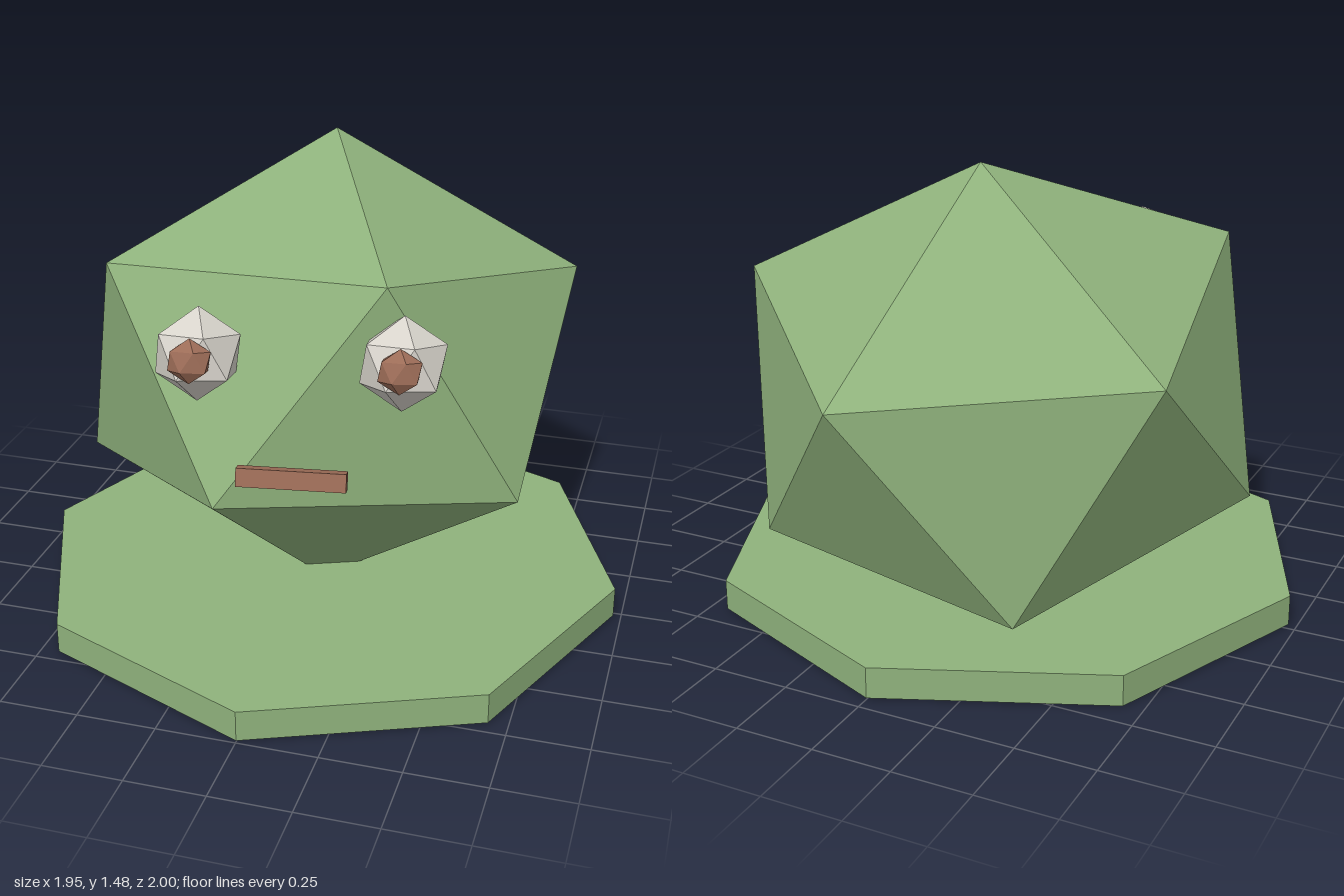
import * as THREE from 'three';
import { ConvexGeometry } from 'three/addons/geometries/ConvexGeometry.js';

const flat = (name, color) => {
  const m = new THREE.MeshStandardMaterial({ color });
  m.name = name;
  return m;
};

// Twenty-sided ball standing on a corner, with a ring corner on the x axis
function facetedBall() {
  const h = 1 / Math.sqrt(5), r = 2 * h;
  const points = [new THREE.Vector3(0, 1, 0), new THREE.Vector3(0, -1, 0)];
  for (let i = 0; i < 5; i++) {
    const a = (i * Math.PI * 2) / 5;
    const p = new THREE.Vector3(r * Math.cos(a), h, r * Math.sin(a));
    points.push(p, p.clone().negate());
  }
  return new ConvexGeometry(points);
}

export function createModel() {
  const green = flat('leaf green', 0x8fb27c);
  const white = flat('off white', 0xd8d4cc);
  const brown = flat('brown', 0x9c6c57);
  const ball = facetedBall();
  const model = new THREE.Group();
  model.name = 'blobCreature';

  const add = (parent, name, geometry, material, position, scale = [1, 1, 1]) => {
    const mesh = new THREE.Mesh(geometry, material);
    mesh.name = name;
    mesh.position.set(...position);
    mesh.scale.set(...scale);
    parent.add(mesh);
  };

  // Eight-sided slab underfoot
  const slab = new THREE.CylinderGeometry(0.975, 0.975, 0.1, 8).toNonIndexed();
  slab.computeVertexNormals();
  add(model, 'base', slab, green, [0, 0.06, 0.02]);

  // Body leaning back and turned slightly, carrying the face
  const body = new THREE.Group();
  body.name = 'bodyAndFace';
  body.position.set(-0.04, 0.744, -0.153);
  body.rotation.set(-0.239, 0.15, 0, 'YXZ');
  model.add(body);
  add(body, 'body', ball, green, [0, 0, 0], [0.894, 0.76, 0.894]);

  // Eyes and flattened pupils
  for (const [side, s] of [['left', 1], ['right', -1]]) {
    add(body, side + 'Eye', ball, white, [s * 0.3, 0.122, 0.75], [0.14, 0.14, 0.14]);
    add(body, side + 'Pupil', ball, brown, [s * 0.3, 0.12, 0.875], [0.07, 0.066, 0.043]);
  }

  // Mouth bar
  add(body, 'mouth', new THREE.BoxGeometry(0.32, 0.055, 0.04), brown, [0, -0.21, 0.857]);

  return model;
}
